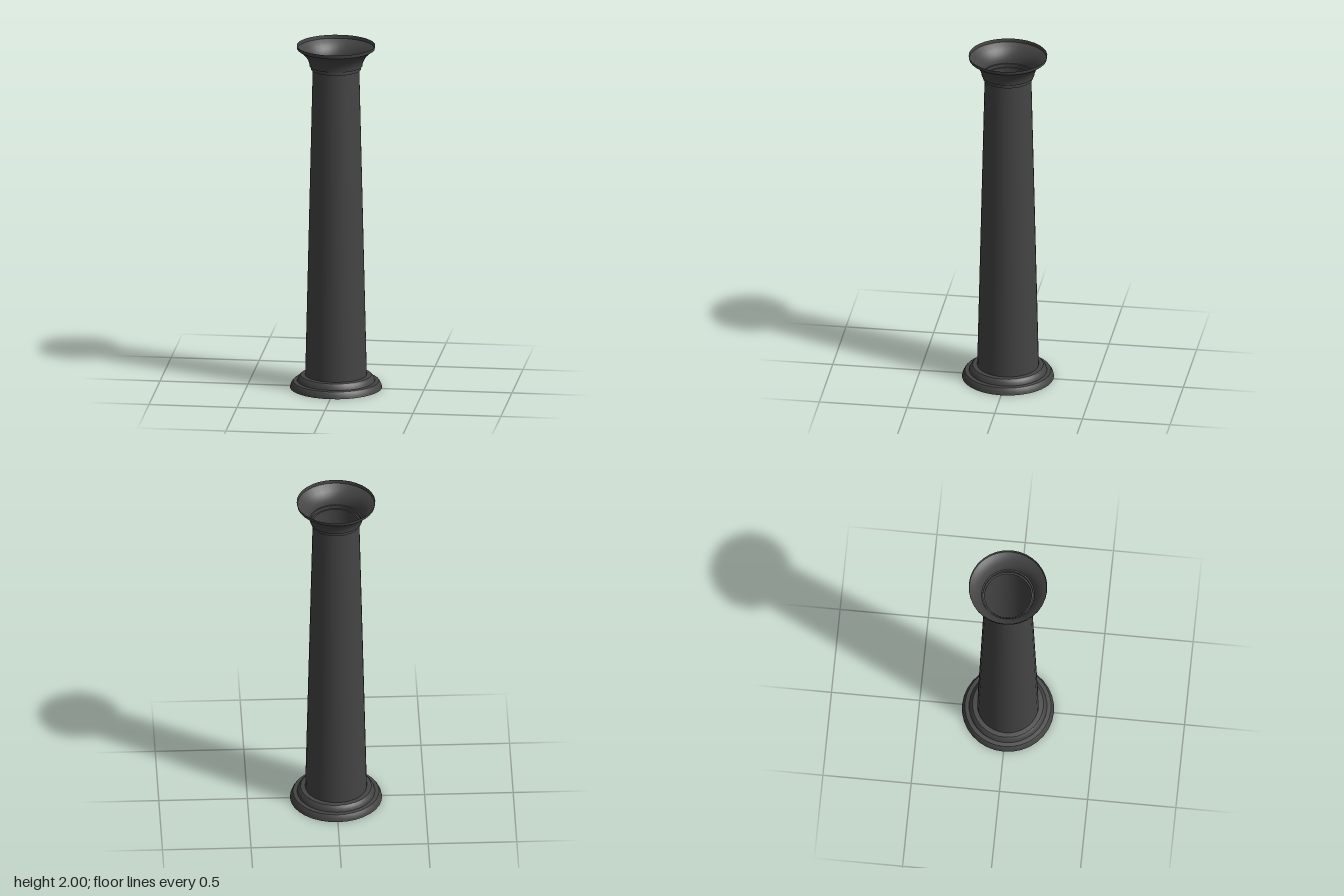
import * as THREE from 'three';
import { toCreasedNormals } from 'three/addons/utils/BufferGeometryUtils.js';

const SIDES = 32;
const material = new THREE.MeshStandardMaterial({ color: 0x444444, side: THREE.DoubleSide });

// Revolve a [radius, height] profile, smooth around and sharp at the steps
function turned(name, profile) {
  const points = profile.map(([r, y]) => new THREE.Vector2(r, y));
  const geometry = toCreasedNormals(new THREE.LatheGeometry(points, SIDES), 0.5);
  const mesh = new THREE.Mesh(geometry, material);
  mesh.name = name;
  return mesh;
}

export function createModel() {
  const column = new THREE.Group();
  column.name = 'column';

  // Two-stepped foot, open underneath
  column.add(turned('base', [
    [0.26, 0], [0.257, 0.012], [0.251, 0.027], [0.243, 0.038],
    [0.22, 0.04], [0.216, 0.052], [0.21, 0.063], [0.2, 0.073], [0.174, 0.075],
  ]));

  // Tapered hollow shaft
  column.add(turned('shaft', [[0.174, 0.075], [0.132, 1.86]]));

  // Stepped neck ring
  column.add(turned('neckRing', [
    [0.132, 1.86], [0.141, 1.86], [0.141, 1.88], [0.149, 1.88],
  ]));

  // Flared, open capital with an upright lip
  column.add(turned('capital', [
    [0.149, 1.88], [0.151, 1.895], [0.157, 1.913], [0.167, 1.932],
    [0.181, 1.95], [0.199, 1.966], [0.219, 1.98], [0.222, 2],
  ]));

  return column;
}
